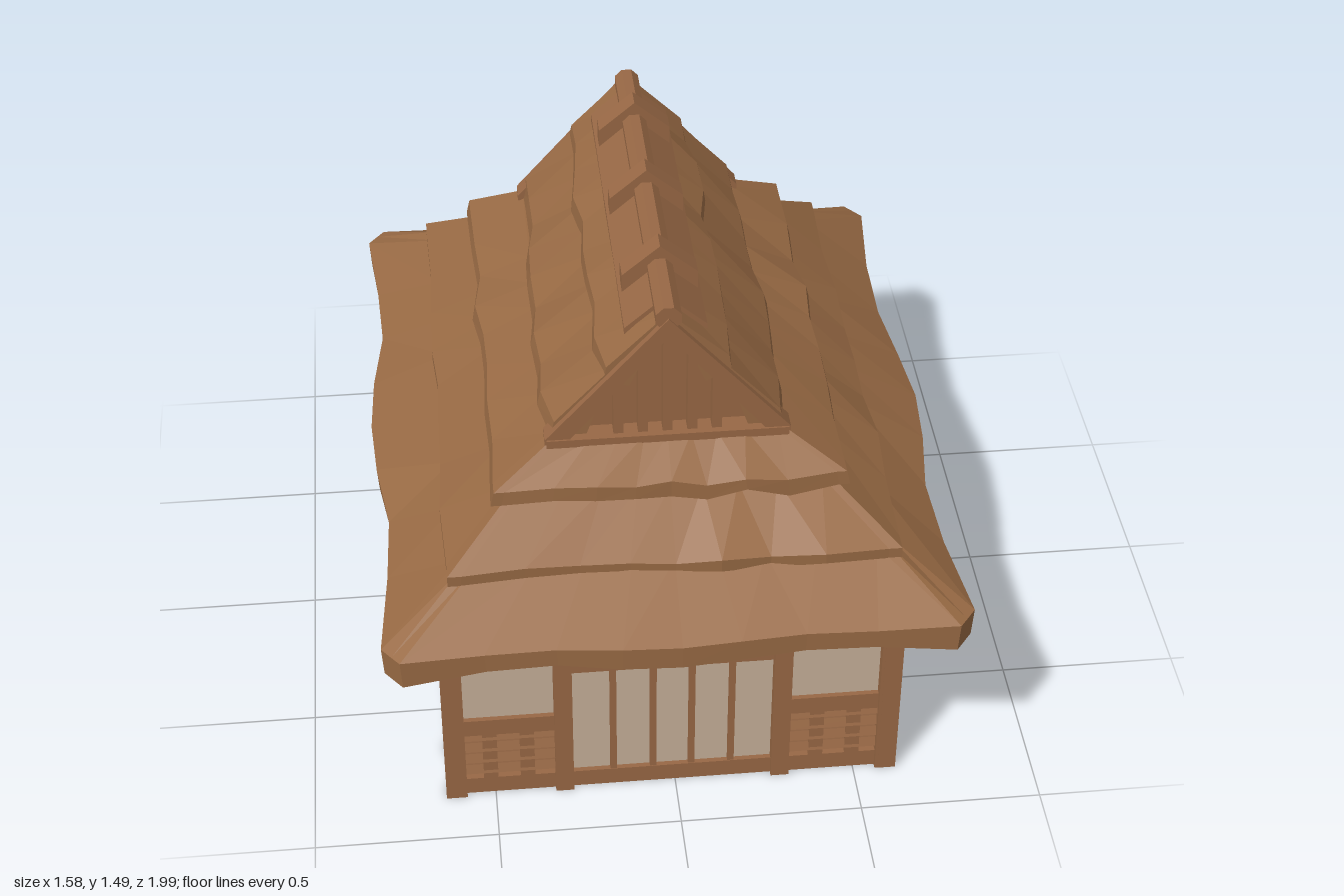
import * as THREE from 'three';

const mat = (name, hex, extra = {}) => {
  const m = new THREE.MeshStandardMaterial({ color: hex, ...extra });
  m.name = name;
  return m;
};

export function createModel() {
  const thatch = mat('thatch', 0x986a44, { flatShading: true });
  const wood = mat('wood', 0x986845);
  const plaster = mat('plaster', 0xc6af99);
  const glass = mat('windowPane', 0xa08562);

  let seed = 11;
  const rnd = (a) => {
    seed = (seed * 16807) % 2147483647;
    return (seed / 2147483647 * 2 - 1) * a;
  };

  const house = new THREE.Group();
  house.name = 'thatchedHouse';
  const add = (parent, name, geo, m) => {
    const mesh = new THREE.Mesh(geo, m);
    mesh.name = name;
    parent.add(mesh);
    return mesh;
  };
  // Box given by its limits on each axis
  const box = (parent, name, m, x0, x1, y0, y1, z0, z1) => add(parent, name,
    new THREE.BoxGeometry(x1 - x0, y1 - y0, z1 - z0).translate((x0 + x1) / 2, (y0 + y1) / 2, (z0 + z1) / 2), m);
  // Slat tilted so that its underside shows from the front
  const louvre = (parent, name, u0, u1, y, h) => {
    const slat = add(parent, name, new THREE.BoxGeometry(u1 - u0, h, 0.026), wood);
    slat.position.set((u0 + u1) / 2, y, -0.022);
    slat.rotation.x = -0.38;
  };
  const faceted = (geo) => {
    const g = geo.toNonIndexed();
    g.computeVertexNormals();
    return g;
  };

  // Skin over stacked rows of points, rows running to the right as seen from outside
  function skin(rows, closed) {
    const n = rows[0].length, pos = rows.flat(2), idx = [];
    for (let r = 0; r < rows.length - 1; r++) {
      for (let k = 0; k < (closed ? n : n - 1); k++) {
        const a = r * n + k, b = r * n + (k + 1) % n;
        idx.push(a, b, b + n, a, b + n, a + n);
      }
    }
    if (!closed) {
      const e = n - 1;
      idx.push(0, n, 2 * n, 0, 2 * n, 3 * n);
      idx.push(e, e + 2 * n, e + n, e, e + 3 * n, e + 2 * n);
    }
    const g = new THREE.BufferGeometry();
    g.setAttribute('position', new THREE.Float32BufferAttribute(pos, 3));
    g.setIndex(idx);
    return faceted(g);
  }

  // ---- Hipped thatch layers: [half width, half depth, height] for each row ----
  const corners = [[1, 1], [1, -1], [-1, -1], [-1, 1]];
  const normals = [[1, 0], [0, -1], [-1, 0], [0, 1]];
  const steps = [0, 0.03, 0.17, 0.29, 0.4, 0.5, 0.6, 0.71, 0.83, 0.97];
  function hipLayer(name, profile, eave) {
    const rows = profile.map(() => []);
    for (let s = 0; s < 4; s++) {
      const c = corners[s], d = corners[(s + 1) % 4], nrm = normals[s], prev = normals[(s + 3) % 4];
      const depth = s % 2 ? 0.01 : 0.024;
      for (const t of steps) {
        const nearCorner = t < 0.1 || t > 0.9;
        const swing = eave ? depth * Math.cos((t - 0.5) * Math.PI * 4) : 0;
        const out = nearCorner ? 0 : (eave ? swing - depth + 0.01 : 0) + rnd(eave ? 0.004 : 0.014);
        const lift = nearCorner ? 0 : rnd(0.011), thick = nearCorner ? 0 : rnd(0.011);
        const cut = eave && t === 0 ? 0.026 : 0;
        profile.forEach(([hx, hz, y], r) => {
          const e = r === 1 || r === 2 ? 1 : 0;
          const droop = nearCorner && eave ? 0.022 : swing;
          rows[r].push([
            (c[0] + (d[0] - c[0]) * t) * hx + e * (nrm[0] * (out - cut) - prev[0] * cut),
            y + e * lift * (eave ? 0.6 : 1) + (r === 1 ? thick * (eave ? 0.5 : 1) - droop : 0),
            (c[1] + (d[1] - c[1]) * t) * hz + e * (nrm[1] * (out - cut) - prev[1] * cut)]);
        });
      }
    }
    add(house, name, skin(rows, true), thatch);
  }
  hipLayer('eaveThatch', [[0.58, 0.79, 0.6], [0.777, 0.988, 0.588], [0.782, 0.988, 0.65], [0.57, 0.79, 0.775]], true);
  hipLayer('lowerThatch', [[0.53, 0.77, 0.73], [0.6, 0.82, 0.755], [0.6, 0.82, 0.787], [0.43, 0.66, 0.915]]);
  hipLayer('middleThatch', [[0.41, 0.63, 0.88], [0.475, 0.69, 0.91], [0.466, 0.688, 0.952], [0.31, 0.595, 1.04], [0.2, 0.55, 1.05]]);

  // ---- Upper thatch slabs on both slopes ----
  function slopeLayer(name, profile) {
    for (const side of [0, 1]) {
      const rows = profile.map(() => []), N = 9;
      for (let k = 0; k <= N; k++) {
        const inner = k > 0 && k < N;
        const out = inner ? rnd(0.016) : -0.012, lift = rnd(0.012), thick = rnd(0.012);
        profile.forEach(([x, y], r) => {
          const edge = r === 1 || r === 2;
          rows[r].push([x + (edge ? out : 0), y + (edge ? lift + (r === 1 ? thick : 0) : 0), 0.585 * (1 - 2 * k / N)]);
        });
      }
      add(house, name, skin(rows, false), thatch).rotation.y = side * Math.PI;
    }
  }
  slopeLayer('upperThatch', [[0.23, 1.0], [0.32, 1.05], [0.31, 1.095], [0.14, 1.265]]);
  slopeLayer('topThatch', [[0.1, 1.2], [0.178, 1.24], [0.172, 1.275], [0, 1.425]]);
  box(house, 'roofUnderside', thatch, -0.6, 0.6, 0.6, 0.61, -0.81, 0.81);

  // ---- Inverted V pieces across the ridge ----
  function chevron(parent, name, m, w, apex, top, bottom, innerApex, innerW, z0, z1) {
    const s = new THREE.Shape();
    s.moveTo(0, apex);
    s.lineTo(-w, top);
    s.lineTo(-w, bottom);
    s.lineTo(-innerW, bottom);
    s.lineTo(0, innerApex);
    s.lineTo(innerW, bottom);
    s.lineTo(w, bottom);
    s.lineTo(w, top);
    s.closePath();
    add(parent, name, new THREE.ExtrudeGeometry(s, { depth: z1 - z0, bevelEnabled: false }).translate(0, 0, z0), m);
  }
  chevron(house, 'ridgeCap', wood, 0.108, 1.44, 1.345, 1.31, 1.39, 0.07, -0.51, 0.53);
  for (const z of [0.35, -0.01, -0.355]) {
    chevron(house, 'ridgeSaddle', wood, 0.1, 1.49, 1.405, 1.34, 1.41, 0.05, z - 0.03, z + 0.03);
  }
  add(house, 'ridgePole', faceted(new THREE.CylinderGeometry(0.036, 0.036, 1.17, 8))
    .rotateY(Math.PI / 8).rotateX(Math.PI / 2).translate(0, 1.418, 0.015), wood);

  // ---- Gables ----
  for (const turn of [0, Math.PI]) {
    const gable = new THREE.Group();
    gable.name = 'gable';
    gable.rotation.y = turn;
    house.add(gable);
    chevron(gable, 'bargeboard', wood, 0.325, 1.42, 1.05, 1.035, 1.365, 0.27, 0.55, 0.605);
    box(gable, 'gableBeam', wood, -0.32, 0.32, 1.01, 1.05, 0.55, 0.61);
    const tri = new THREE.Shape([[-0.3, 1.03], [0.3, 1.03], [0, 1.39]].map((p) => new THREE.Vector2(...p)));
    add(gable, 'gableInfill', new THREE.ShapeGeometry(tri).translate(0, 0, 0.552), wood);
    for (let i = -2; i <= 2; i++) {
      const x = i * 0.065;
      box(gable, 'gableSlat', wood, x - 0.013, x + 0.013, 1.04, 1.37 - Math.abs(x) * 1.18, 0.55, 0.592);
    }
  }

  // ---- Front and back walls ----
  for (const front of [true, false]) {
    const wall = new THREE.Group();
    wall.name = front ? 'frontWall' : 'backWall';
    wall.rotation.y = front ? 0 : Math.PI;
    wall.position.set(-0.008, 0, front ? 0.845 : -0.825);
    house.add(wall);
    const part = (name, m, u0, u1, y0, y1, d0 = -0.04, d1 = -0.008) => box(wall, name, m, u0, u1, y0, y1, d0, d1);
    for (const u of [-0.602, -0.3, 0.3, 0.602]) part('post', wood, u - 0.025, u + 0.025, 0, 0.64, -0.05, 0.008);
    part('sill', wood, -0.61, 0.61, 0, 0.055);
    part('topBeam', wood, -0.61, 0.61, 0.585, 0.62);
    // Sliding doors
    part('doorPaper', plaster, -0.29, 0.29, 0.05, 0.59, -0.03, -0.022);
    part('lintel', wood, -0.28, 0.28, 0.43, 0.465);
    for (const u of [-0.163, -0.053, 0.053, 0.163]) part('doorStile', wood, u - 0.009, u + 0.009, 0.055, 0.43, -0.035, -0.01);
    // Plaster bays over slatted lattice
    for (const u of [-0.452, 0.452]) {
      part('plasterPanel', plaster, u - 0.14, u + 0.14, 0.27, 0.59, -0.03, -0.022);
      part('rail', wood, u - 0.14, u + 0.14, 0.22, 0.275);
      part('latticeBack', wood, u - 0.13, u + 0.13, 0.05, 0.23, -0.038, -0.03);
      for (let j = 0; j < 4; j++) {
        const v = u - 0.153 + j * 0.102;
        part('latticeUpright', wood, v - 0.02, v + 0.02, 0.05, 0.23, -0.04, -0.008);
        louvre(wall, 'latticeSlat', u - 0.14, u + 0.14, 0.084 + j * 0.042, 0.028);
      }
    }
  }

  // ---- Side walls, mirrored left and right ----
  for (const side of [1, -1]) {
    const wall = new THREE.Group();
    wall.name = side > 0 ? 'leftWall' : 'rightWall';
    wall.rotation.y = side * Math.PI / 2;
    wall.position.x = side * 0.62 - 0.009;
    house.add(wall);
    const part = (name, m, z0, z1, y0, y1, d0 = -0.04, d1 = -0.008) => (side > 0
      ? box(wall, name, m, -z1, -z0, y0, y1, d0, d1)
      : box(wall, name, m, z0, z1, y0, y1, d0, d1));
    for (const z of [0.828, 0.66, 0.093, -0.552, -0.807]) part('post', wood, z - 0.024, z + 0.024, 0, 0.64, -0.05, 0.008);
    part('sill', wood, -0.82, 0.83, 0, 0.055);
    part('topBeam', wood, -0.82, 0.83, 0.59, 0.62);
    part('plasterPanel', plaster, 0.65, 0.83, 0.05, 0.6, -0.03, -0.022);
    part('plasterPanel', plaster, -0.815, -0.55, 0.05, 0.6, -0.03, -0.022);
    // Sliding screen
    part('screenPaper', plaster, 0.1, 0.65, 0.05, 0.6, -0.03, -0.022);
    part('lintel', wood, 0.1, 0.65, 0.457, 0.505);
    part('screenStile', wood, 0.25, 0.272, 0.055, 0.457, -0.036, -0.01);
    // Grid window
    part('windowGlass', glass, -0.55, 0.09, 0.22, 0.6, -0.03, -0.022);
    for (const z of [-0.13, -0.325]) part('windowBar', wood, z - 0.01, z + 0.01, 0.225, 0.59, -0.036, -0.012);
    for (const y of [0.387, 0.55]) part('windowBar', wood, -0.54, 0.08, y - 0.008, y + 0.008, -0.036, -0.012);
    // Horizontal boards below the window
    part('boardBack', wood, -0.55, 0.09, 0.05, 0.2, -0.038, -0.03);
    part('board', wood, -0.54, 0.08, 0.18, 0.226);
    const [u0, u1] = side > 0 ? [-0.08, 0.54] : [-0.54, 0.08];
    for (const y of [0.068, 0.112, 0.155]) louvre(wall, 'board', u0, u1, y, 0.032);
  }
  return house;
}
